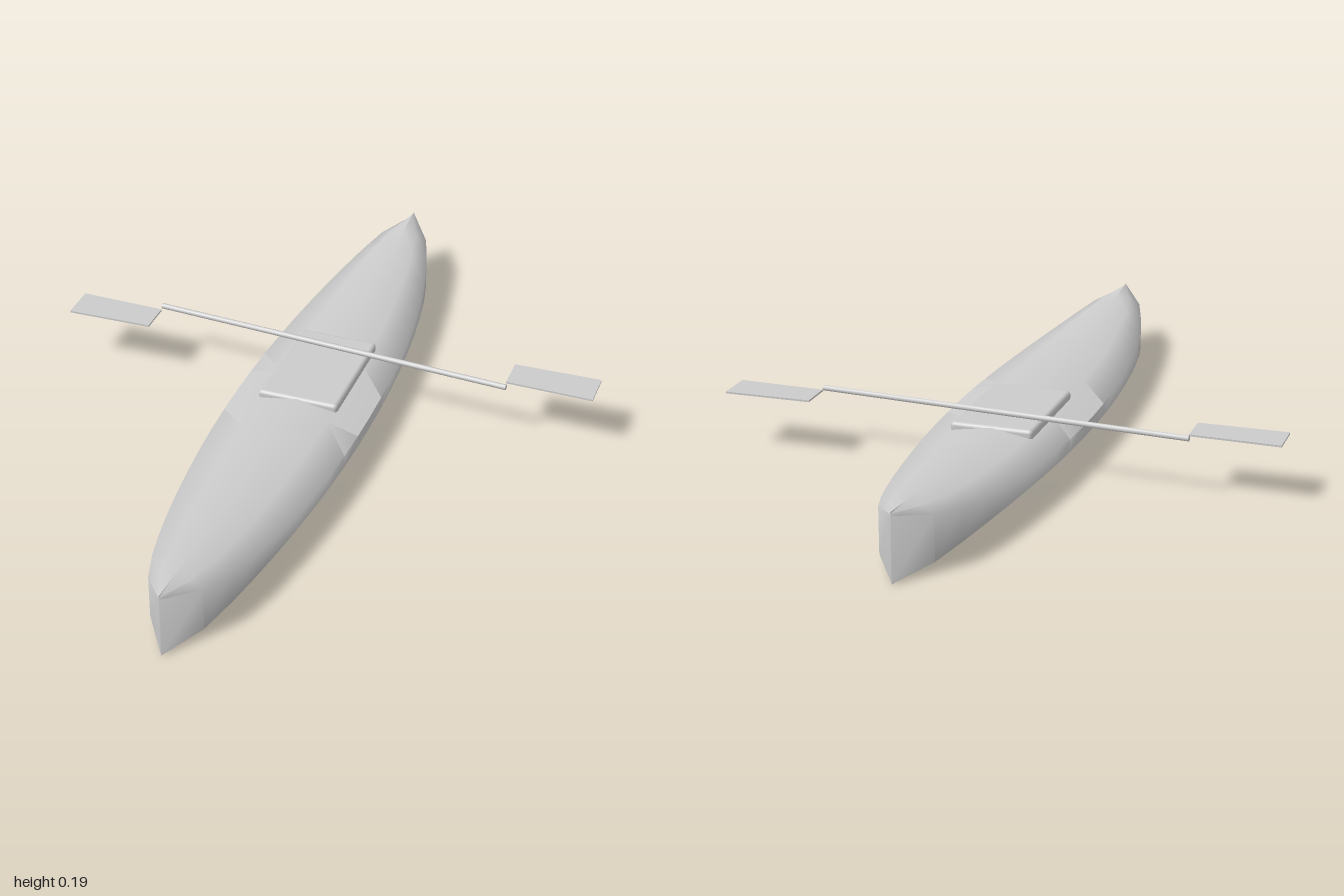
import * as THREE from 'three';
import { toCreasedNormals } from 'three/addons/utils/BufferGeometryUtils.js';
import { RoundedBoxGeometry } from 'three/addons/geometries/RoundedBoxGeometry.js';

const material = new THREE.MeshStandardMaterial({ color: 0xcccccc });

function part(name, geometry, parent) {
  const mesh = new THREE.Mesh(geometry, material);
  mesh.name = name;
  parent.add(mesh);
  return mesh;
}

// One closed cross-section of the hull, counter-clockwise seen from +z
function hullSection(z) {
  const a = Math.abs(z);
  const width = Math.max(0.001, 0.195 * Math.pow(1 - a * a, 0.6));
  const sheer = Math.pow(Math.max(0, (a - 0.3) / 0.7), 1.7);
  const flare = Math.pow(a, 4);
  const keel = 0.035 * (1 - sheer);
  const ridge = 0.148 + 0.037 * sheer;
  const low = 0.07 - 0.065 * flare;
  const high = 0.105 + 0.07 * flare;
  const mix = THREE.MathUtils.lerp;
  const half = [
    [0.55 * width, mix(keel, low, 0.42)],
    [width, low],
    [width, high],
    [0.55 * width, mix(ridge, high, 0.38)],
  ];
  const mirrored = half.map(([x, y]) => [-x, y]).reverse();
  return [[0, keel], ...half, [0, ridge], ...mirrored].map(([x, y]) => [x, y, z]);
}

// Loft the sections from stern to bow
function hullGeometry() {
  const steps = 20;
  const positions = [];
  const index = [];
  let n = 0;
  for (let s = 0; s <= steps; s++) {
    const ring = hullSection(-1 + (2 * s) / steps);
    n = ring.length;
    positions.push(...ring.flat());
    if (s === steps) break;
    for (let i = 0; i < n; i++) {
      const a = s * n + i;
      const b = s * n + ((i + 1) % n);
      index.push(a, b, a + n, b, b + n, a + n);
    }
  }
  // Thin stem faces at both tips
  const last = steps * n;
  for (let i = 1; i < n - 1; i++) {
    index.push(0, i + 1, i, last, last + i, last + i + 1);
  }
  const geometry = new THREE.BufferGeometry();
  geometry.setAttribute('position', new THREE.Float32BufferAttribute(positions, 3));
  geometry.setIndex(index);
  return toCreasedNormals(geometry, THREE.MathUtils.degToRad(73));
}

// Flat blade, slightly wider at its outer end, extending along +x
function bladeGeometry() {
  const shape = new THREE.Shape([
    new THREE.Vector2(0, -0.047),
    new THREE.Vector2(0.245, -0.052),
    new THREE.Vector2(0.245, 0.052),
    new THREE.Vector2(0, 0.047),
  ]);
  const depth = 0.005;
  return new THREE.ExtrudeGeometry(shape, { depth, bevelEnabled: false })
    .translate(0, 0, -depth / 2)
    .rotateX(-Math.PI / 2);
}

export function createModel() {
  const model = new THREE.Group();
  model.name = 'kayak';

  part('hull', hullGeometry(), model);

  // Cockpit cover set into the deck
  const cover = part('cockpitCover', new RoundedBoxGeometry(0.23, 0.03, 0.345, 3, 0.011), model);
  cover.position.set(0, 0.137, -0.122);

  // Double paddle lying across the deck
  const paddle = new THREE.Group();
  paddle.name = 'paddle';
  paddle.position.set(0, 0.165, -0.215);
  model.add(paddle);

  const shaft = part('shaft', new THREE.CylinderGeometry(0.008, 0.008, 1.055, 8).rotateZ(Math.PI / 2), paddle);
  shaft.rotation.y = -Math.atan2(0.07, 1.05);

  for (const side of [1, -1]) {
    const blade = part(side > 0 ? 'leftBlade' : 'rightBlade', bladeGeometry(), paddle);
    blade.position.set(side * 0.52, 0, side * -0.035);
    if (side < 0) blade.rotation.y = Math.PI;
  }

  return model;
}
